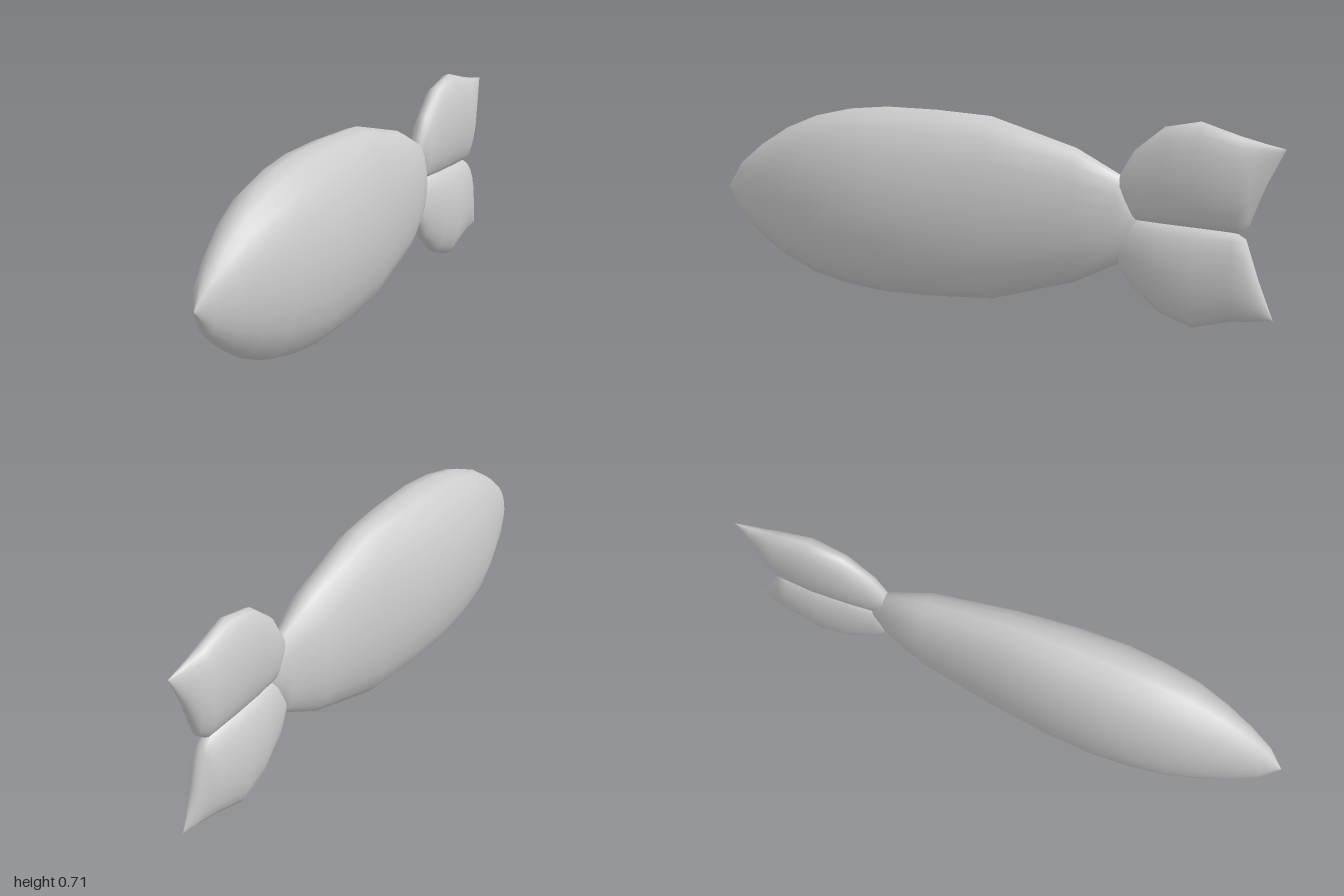
import * as THREE from 'three';

const SIDES = 20;
const material = new THREE.MeshStandardMaterial({ color: 0xcccccc });

// Skins elliptical rings running from front to back.
// Each station is [z, bottom y, top y, half width]; a flat station closes an end.
function loft(name, stations) {
  const positions = [], index = [];
  stations.forEach(([z, low, high, halfWidth], i) => {
    for (let j = 0; j < SIDES; j++) {
      const t = (j / SIDES) * Math.PI * 2;
      positions.push(
        halfWidth * Math.sin(t),
        (low + high) / 2 + ((high - low) / 2) * Math.cos(t),
        z
      );
      if (i === stations.length - 1) continue;
      const a = i * SIDES + j, b = i * SIDES + ((j + 1) % SIDES);
      const c = a + SIDES, d = b + SIDES;
      // leave out the collapsed triangles at the pointed ends
      if (i > 0) index.push(a, b, c);
      if (i < stations.length - 2) index.push(b, d, c);
      else if (i === 0) index.push(b, d, c);
    }
  });
  const geometry = new THREE.BufferGeometry();
  geometry.setAttribute('position', new THREE.Float32BufferAttribute(positions, 3));
  geometry.setIndex(index);
  geometry.computeVertexNormals();
  const mesh = new THREE.Mesh(geometry, material);
  mesh.name = name;
  return mesh;
}

export function createModel() {
  const model = new THREE.Group();
  model.name = 'fish';

  // Body: [z, half height, half width] around a level centre line
  const centre = 0.358;
  const body = [
    [1.0, 0, 0],
    [0.94, 0.1, 0.045],
    [0.86, 0.17, 0.08],
    [0.76, 0.237, 0.115],
    [0.645, 0.288, 0.147],
    [0.515, 0.32, 0.165],
    [0.38, 0.335, 0.173],
    [0.2, 0.335, 0.165],
    [0.0, 0.325, 0.14],
    [-0.3, 0.235, 0.1],
    [-0.45, 0.155, 0.05],
    [-0.5, 0.05, 0.025],
    [-0.52, 0, 0],
  ].map(([z, h, w]) => [z, centre - h, centre + h, w]);
  model.add(loft('body', body));

  // Tail: two plump lobes meeting along the centre line
  const tail = new THREE.Group();
  tail.name = 'tail';
  tail.add(loft('upperTailLobe', [
    [-0.445, 0.48, 0.48, 0],
    [-0.455, 0.43, 0.52, 0.025],
    [-0.5, 0.36, 0.6, 0.042],
    [-0.6, 0.352, 0.685, 0.058],
    [-0.72, 0.347, 0.71, 0.066],
    [-0.85, 0.34, 0.67, 0.053],
    [-0.89, 0.37, 0.66, 0.04],
    [-0.94, 0.51, 0.648, 0.023],
    [-1.0, 0.635, 0.635, 0],
  ]));
  tail.add(loft('lowerTailLobe', [
    [-0.445, 0.24, 0.24, 0],
    [-0.455, 0.2, 0.29, 0.025],
    [-0.5, 0.125, 0.36, 0.042],
    [-0.6, 0.04, 0.362, 0.058],
    [-0.71, 0.0, 0.357, 0.066],
    [-0.84, 0.035, 0.348, 0.053],
    [-0.88, 0.038, 0.325, 0.042],
    [-0.925, 0.043, 0.19, 0.025],
    [-0.98, 0.05, 0.05, 0],
  ]));
  model.add(tail);

  return model;
}
